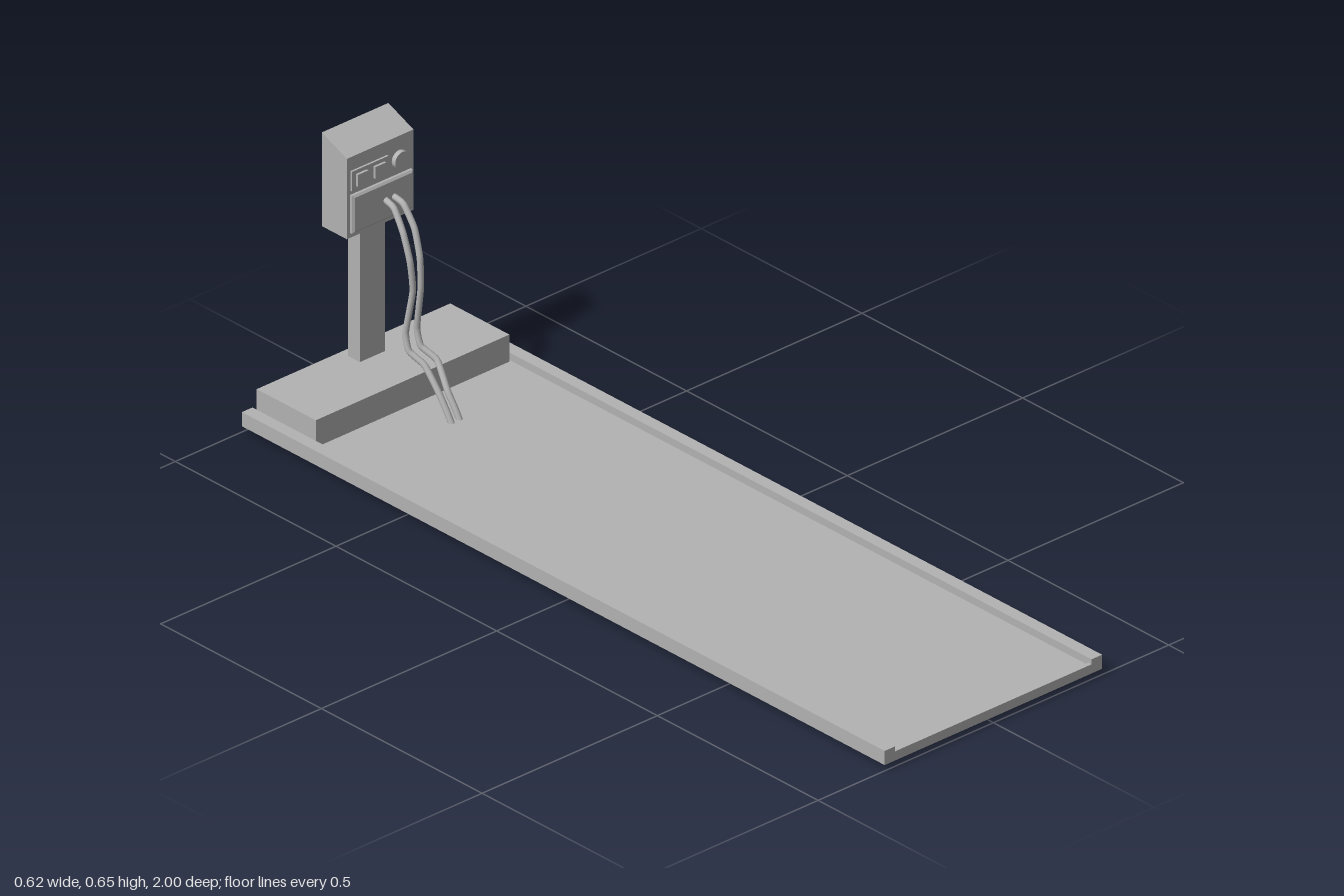
import * as THREE from 'three';

export function createModel() {
  const model = new THREE.Group();
  const grey = new THREE.MeshStandardMaterial({ color: 0xb2b2b2 });
  grey.name = 'plain grey';

  const add = (name, geometry) => {
    const mesh = new THREE.Mesh(geometry, grey);
    mesh.name = name;
    model.add(mesh);
    return mesh;
  };
  // Box given by its limits on each axis
  const box = (name, x0, x1, y0, y1, z0, z1) => {
    const mesh = add(name, new THREE.BoxGeometry(x1 - x0, y1 - y0, z1 - z0));
    mesh.position.set((x0 + x1) / 2, (y0 + y1) / 2, (z0 + z1) / 2);
    return mesh;
  };

  // Long tray: floor, raised side rails and low end lips
  box('trayFloor', -0.28, 0.28, 0.016, 0.032, -0.99, 0.99);
  for (const [side, s] of [['left', 1], ['right', -1]]) {
    box(side + 'Rail', s * 0.295 - 0.015, s * 0.295 + 0.015, 0.016, 0.05, -1, 1);
  }
  box('frontLip', -0.28, 0.28, 0.016, 0.038, 0.99, 1);
  box('backLip', -0.28, 0.28, 0.016, 0.038, -1, -0.99);

  // Pedestal and column
  box('pedestal', -0.277, 0.275, 0.03, 0.097, -0.99, -0.806);
  box('column', -0.038, 0.034, 0.097, 0.423, -0.967, -0.93);

  // Control head: side profile with sloped top, extruded across x
  const profile = new THREE.Shape([
    [0.907, 0.423], [0.985, 0.423], [0.985, 0.648], [0.907, 0.616],
  ].map(([z, y]) => new THREE.Vector2(z, y)));
  const head = new THREE.ExtrudeGeometry(profile, { depth: 0.19, bevelEnabled: false });
  head.rotateY(Math.PI / 2).translate(-0.096, 0, 0);
  add('controlHead', head);

  // Switch plate with two square buttons, and a round dial
  box('switchPlate', -0.086, 0.018, 0.536, 0.583, -0.91, -0.902);
  for (const x of [-0.0595, -0.009]) {
    box('squareButton', x - 0.015, x + 0.015, 0.545, 0.574, -0.904, -0.896);
  }
  const dial = new THREE.CylinderGeometry(0.021, 0.021, 0.014, 32).rotateX(Math.PI / 2);
  add('dial', dial).position.set(0.053, 0.561, -0.903);

  // Lower cover with bevelled edge
  const cover = new THREE.Shape([
    [-0.082, 0.44], [0.081, 0.44], [0.081, 0.521], [-0.082, 0.521],
  ].map(([x, y]) => new THREE.Vector2(x, y)));
  add('lowerCover', new THREE.ExtrudeGeometry(cover, {
    depth: 0.006, bevelThickness: 0.004, bevelSize: 0.005, bevelSegments: 1,
  })).position.z = -0.907;

  // Two hanging cables sharing one side profile [y, z], each with its own x bends
  const drop = [
    [0.484, -0.905], [0.475, -0.87], [0.43, -0.836], [0.37, -0.815], [0.3, -0.812], [0.2, -0.824],
    [0.16, -0.812], [0.135, -0.775], [0.085, -0.73], [0.05, -0.705], [0.006, -0.678],
  ];
  const bends = {
    rightCable: [0.007, 0.005, 0, 0, 0.005, -0.004, -0.006, 0.006, 0.006, 0.006, 0.006],
    leftCable: [0.03, 0.032, 0.032, 0.028, 0.028, 0.028, 0.028, 0.041, 0.029, 0.029, 0.029],
  };
  for (const [name, xs] of Object.entries(bends)) {
    const points = drop.map(([y, z], i) => new THREE.Vector3(xs[i], y, z));
    const curve = new THREE.CatmullRomCurve3(points, false, 'catmullrom', 0.25);
    add(name, new THREE.TubeGeometry(curve, 80, 0.0072, 12));
    // Closed lower end
    const end = add(name + 'End', new THREE.CircleGeometry(0.0072, 12));
    end.position.copy(points[points.length - 1]);
    end.lookAt(end.position.clone().add(curve.getTangent(1)));
  }

  return model;
}
